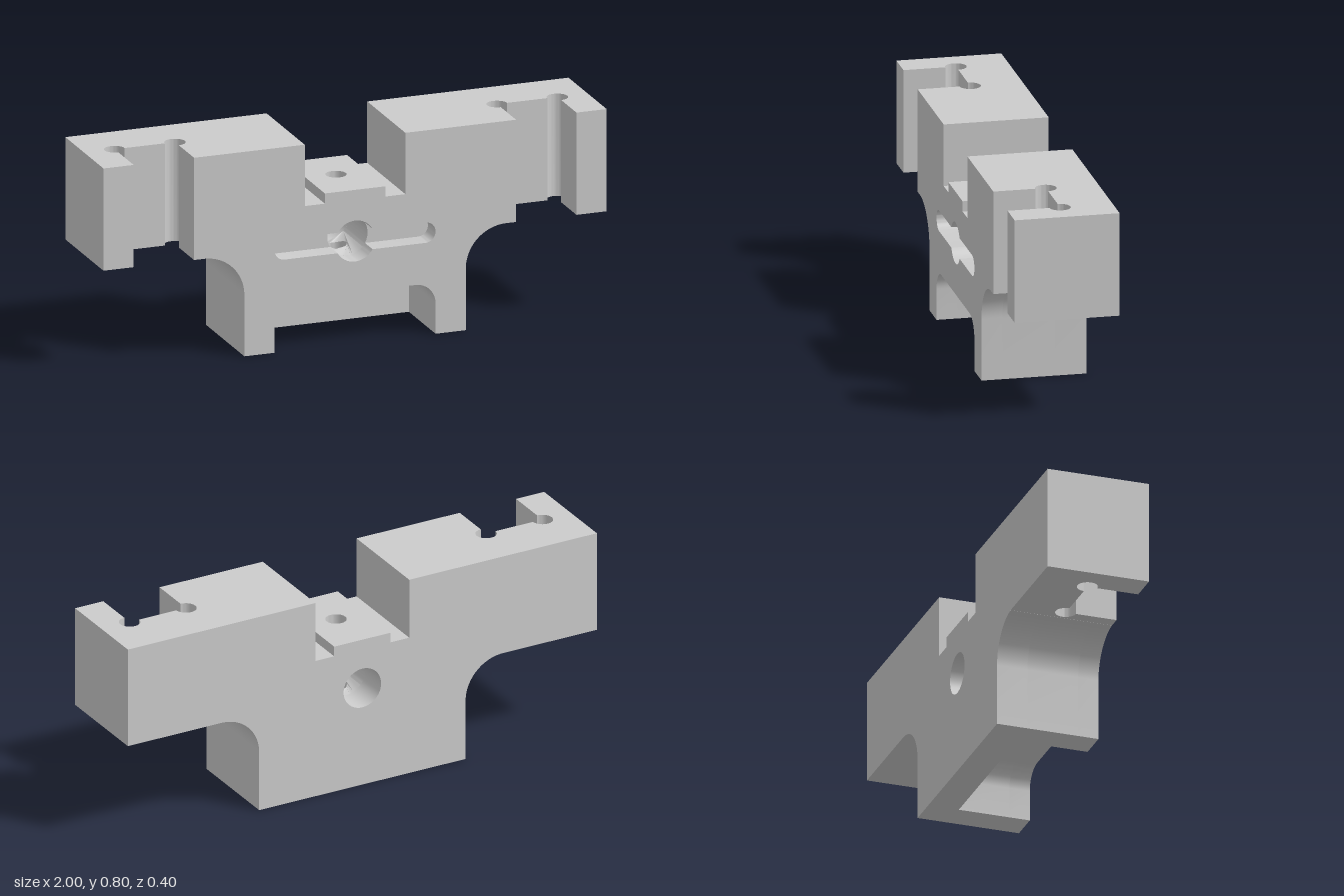
import * as THREE from 'three';
import { toCreasedNormals } from 'three/addons/utils/BufferGeometryUtils.js';

const { PI } = Math;
const BORE_Y = 0.4, BORE_R = 0.08, PIN_R = 0.04, COLUMN = 0.06, ARM_X = 0.59;
// Depth layers: back wall, middle with the pin hole, front with the groove
const BACK = -0.2, POCKET = -0.08, GROOVE = 0.12, FRONT = 0.2;

const v = (x, y) => new THREE.Vector2(x, y);
const mirror = (points) => points.map((p) => v(-p.x, p.y));

// Points on an arc from angle a to angle b
function arc(cx, cy, r, a, b, n = 20) {
  return Array.from({ length: n + 1 }, (_, i) => {
    const t = a + ((b - a) * i) / n;
    return v(cx + r * Math.cos(t), cy + r * Math.sin(t));
  });
}

function extrude(shape, depth) {
  return new THREE.ExtrudeGeometry(shape, { depth, bevelEnabled: false });
}

// Right half of the front outline, from the top middle round to the bottom middle
function halfOutline(withPocket, innerX) {
  const points = [
    v(innerX, 0.6), v(0.12, 0.6), v(0.12, 0.56), v(0.2, 0.56), v(0.2, 0.8), v(ARM_X, 0.8),
    ...arc(0.6, 0.24, 0.16, Math.acos((ARM_X - 0.6) / 0.16), PI),
    v(0.44, 0),
  ];
  if (withPocket) points.push(v(0.32, 0), ...arc(0.24, 0.12, 0.08, 0, PI / 2, 12), v(innerX, 0.2));
  else points.push(v(innerX, 0));
  return points;
}

function fullOutline(withPocket) {
  const half = halfOutline(withPocket, 0.1);
  return new THREE.Shape([...half, ...mirror(half).reverse()]);
}

export function createModel() {
  const group = new THREE.Group();
  const material = new THREE.MeshStandardMaterial({ color: 0xcccccc });

  const add = (name, geometry, z = 0) => {
    const mesh = new THREE.Mesh(toCreasedNormals(geometry, 0.5), material);
    mesh.name = name;
    mesh.position.z = z;
    group.add(mesh);
  };

  // Back wall, pierced by the round bore
  const back = fullOutline(false);
  back.holes.push(new THREE.Path(arc(0, BORE_Y, BORE_R, 0, 2 * PI, 48).slice(0, -1)));
  add('backWall', extrude(back, POCKET - BACK), BACK);

  // Front layer, with the bore and the long groove cut as one opening
  const front = fullOutline(true);
  front.holes.push(new THREE.Path([
    ...arc(0, BORE_Y, BORE_R, PI / 6, (5 * PI) / 6),
    ...arc(-0.28, BORE_Y, 0.04, PI / 2, 1.5 * PI),
    ...arc(0, BORE_Y, BORE_R, (7 * PI) / 6, (11 * PI) / 6),
    ...arc(0.28, BORE_Y, 0.04, -PI / 2, PI / 2),
  ]));
  add('groovedFront', extrude(front, FRONT - GROOVE), GROOVE);

  // Middle layer on either side of the pin hole
  const angle = Math.acos(COLUMN / BORE_R);
  const side = [...halfOutline(true, COLUMN), ...arc(0, BORE_Y, BORE_R, -angle, angle)];
  add('leftCore', extrude(new THREE.Shape(side), GROOVE - POCKET), POCKET);
  add('rightCore', extrude(new THREE.Shape(mirror(side)), GROOVE - POCKET), POCKET);

  // Pin hole columns above and below the bore, their ends bent to the bore's curve
  const edge = Array.from({ length: 13 }, (_, i) => -COLUMN + (2 * COLUMN * i) / 12);
  const plan = new THREE.Shape([
    ...edge.map((x) => v(x, -GROOVE)),
    ...edge.map((x) => v(-x, -POCKET)),
  ]);
  plan.holes.push(new THREE.Path(arc(0, 0, PIN_R, 0, 2 * PI, 32).slice(0, -1)));
  for (const [name, bottom, top, sign] of [
    ['upperPinColumn', BORE_Y, 0.6, 1],
    ['lowerPinColumn', 0.2, BORE_Y, -1],
  ]) {
    const column = extrude(plan, top - bottom).rotateX(-PI / 2).translate(0, bottom, 0);
    const p = column.attributes.position;
    for (let i = 0; i < p.count; i++) {
      if (Math.abs(p.getY(i) - BORE_Y) < 1e-4) {
        p.setY(i, BORE_Y + sign * Math.sqrt(BORE_R ** 2 - p.getX(i) ** 2));
      }
    }
    column.computeVertexNormals();
    add(name, column);
  }

  // Arms with a front slot relieved by round corners
  const arm = [
    v(ARM_X, -0.2), v(0.64, -0.2),
    ...arc(0.64, 0, 0.04, 1.5 * PI, 0, 30),
    ...arc(0.88, 0, 0.04, PI, -PI / 2, 30),
    v(0.88, -0.2), v(1, -0.2), v(1, 0.2), v(ARM_X, 0.2),
  ];
  for (const [name, points] of [['leftArm', arm], ['rightArm', mirror(arm)]]) {
    add(name, extrude(new THREE.Shape(points), 0.4).rotateX(-PI / 2).translate(0, 0.4, 0));
  }

  return group;
}
